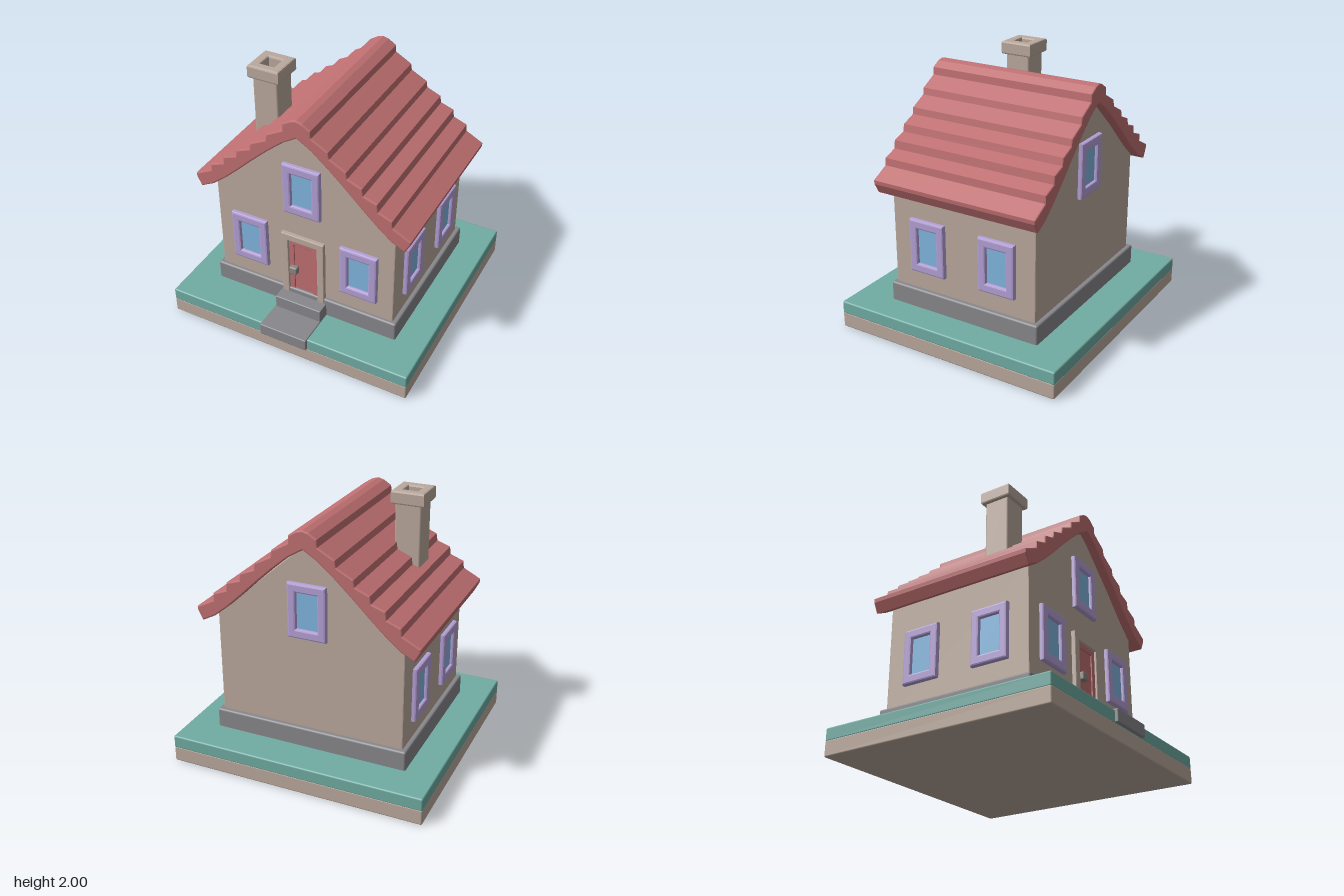
import * as THREE from 'three';
import { RoundedBoxGeometry } from 'three/addons/geometries/RoundedBoxGeometry.js';

const mat = (name, color) => Object.assign(new THREE.MeshStandardMaterial({ color }), { name });

export function createModel() {
  const plaster = mat('plaster', 0xbba99d);
  const roofRed = mat('roof red', 0xc07072);
  const grass = mat('teal lawn', 0x70aca3);
  const stone = mat('grey stone', 0x88878b);
  const lilac = mat('lilac frame', 0xb4a0d6);
  const glass = mat('blue glass', 0x80b6e0);
  const knobGrey = mat('knob grey', 0x8e8681);

  const house = new THREE.Group();
  house.name = 'house';

  const add = (name, geo, material, parent = house) => {
    const m = new THREE.Mesh(geo, material);
    m.name = name;
    parent.add(m);
    return m;
  };

  // Softly rounded box given by its limits on each axis
  const block = (name, [x0, x1], [y0, y1], [z0, z1], material, r = 0.012, parent = house) => {
    const m = add(name, new RoundedBoxGeometry(x1 - x0, y1 - y0, z1 - z0, 2, r), material, parent);
    m.position.set((x0 + x1) / 2, (y0 + y1) / 2, (z0 + z1) / 2);
    return m;
  };

  const polygon = (pts) => new THREE.Shape(pts.map(([x, y]) => new THREE.Vector2(x, y)));
  const rect = (x0, x1, y0, y1) => [[x0, y0], [x1, y0], [x1, y1], [x0, y1]];

  // Extrusion from z0 to z1 with bevels kept inside the outline
  const slab = (shape, z0, z1, bevel) => {
    const g = new THREE.ExtrudeGeometry(shape, {
      depth: z1 - z0 - 2 * bevel, bevelEnabled: bevel > 0, bevelThickness: bevel,
      bevelSize: bevel, bevelOffset: -bevel, bevelSegments: 2,
    });
    return g.translate(0, 0, z0 + bevel);
  };

  // Rectangular ring centred on the origin
  const ring = (w, h, iw, ih, z0, z1, bevel) => {
    const s = polygon(rect(-w / 2, w / 2, -h / 2, h / 2));
    s.holes.push(new THREE.Path(rect(-iw / 2, iw / 2, -ih / 2, ih / 2).map(([x, y]) => new THREE.Vector2(x, y))));
    return slab(s, z0, z1, bevel);
  };

  // Ground plate and foundation
  block('groundPlate', [-0.985, 0.985], [0, 0.122], [-0.925, 0.9], plaster);
  block('lawn', [-0.985, 0.985], [0.112, 0.212], [-0.925, 0.9], grass);
  block('foundation', [-0.755, 0.755], [0.19, 0.36], [-0.655, 0.603], stone, 0.015);

  // Entrance steps
  block('upperStep', [-0.19, 0.19], [0.19, 0.32], [0.5, 0.7], stone, 0.008);
  block('lowerStep', [-0.197, 0.19], [0.123, 0.22], [0.6, 0.925], stone, 0.008);

  // Walls with gables
  const gable = polygon([[-0.72, 0.3], [0.72, 0.3], [0.72, 1.16], [0, 1.79], [-0.72, 1.16]]);
  add('walls', slab(gable, -0.62, 0.575, 0.008), plaster);

  // Stepped roof: outer edge of the right slope, then the underside
  const slope = [
    [0.045, 1.888], [0.106, 1.85], [0.11, 1.795], [0.236, 1.725], [0.245, 1.675], [0.37, 1.61],
    [0.378, 1.56], [0.487, 1.515], [0.497, 1.46], [0.6, 1.425], [0.608, 1.365], [0.713, 1.325],
    [0.718, 1.27], [0.853, 1.2], [0.85, 1.17], [0.812, 1.097],
  ];
  const under = [[0.71, 1.15], [0.6, 1.24], [0.487, 1.345], [0.37, 1.46], [0.236, 1.585], [0.106, 1.695]];
  const half = [...slope, ...under];
  const roofPts = [
    [0, 1.9], ...half, [0, 1.76],
    ...[...half].reverse().map(([x, y]) => [-x, y]),
  ].reverse();
  add('roof', slab(polygon(roofPts), -0.69, 0.64, 0.01), roofRed);

  // Chimney with hollow cap
  block('chimneyStack', [-0.55, -0.35], [1.38, 1.92], [0.085, 0.285], plaster, 0.015);
  const cap = add('chimneyCap', ring(0.25, 0.25, 0.11, 0.11, 0, 0.1, 0.013), plaster);
  cap.rotation.x = -Math.PI / 2;
  cap.position.set(-0.45, 1.9, 0.185);

  // Windows: frame and pane, facing along the given turn
  const addWindow = (name, x, y, z, turn) => {
    const g = new THREE.Group();
    g.name = name;
    add('windowFrame', ring(0.295, 0.415, 0.165, 0.275, -0.02, 0.035, 0.013), lilac, g);
    add('windowPane', new THREE.BoxGeometry(0.2, 0.31, 0.008), glass, g).position.z = 0.005;
    g.position.set(x, y, z);
    g.rotation.y = turn;
    house.add(g);
  };
  for (const s of [-1, 1]) {
    addWindow('frontWindow', s * 0.447, 0.707, 0.575, 0);
    for (const z of [0.27, -0.315]) addWindow('sideWindow', s * 0.72, 0.71, z, s * Math.PI / 2);
  }
  addWindow('frontGableWindow', 0, 1.287, 0.575, 0);
  addWindow('backGableWindow', 0, 1.287, -0.62, Math.PI);

  // Door with surround, raised border and square knob
  const surround = polygon([
    [-0.177, 0.315], [-0.12, 0.315], [-0.12, 0.82], [0.117, 0.82],
    [0.117, 0.315], [0.172, 0.315], [0.172, 0.876], [-0.177, 0.876],
  ]);
  add('doorSurround', slab(surround, 0.55, 0.608, 0.006), plaster);
  block('door', [-0.125, 0.122], [0.315, 0.825], [0.55, 0.582], roofRed, 0.002);
  add('doorBorder', ring(0.237, 0.5, 0.155, 0.42, 0.575, 0.592, 0.005), roofRed).position.set(-0.001, 0.568, 0);
  block('doorKnob', [-0.107, -0.043], [0.523, 0.587], [0.58, 0.628], knobGrey, 0.012);

  return house;
}
